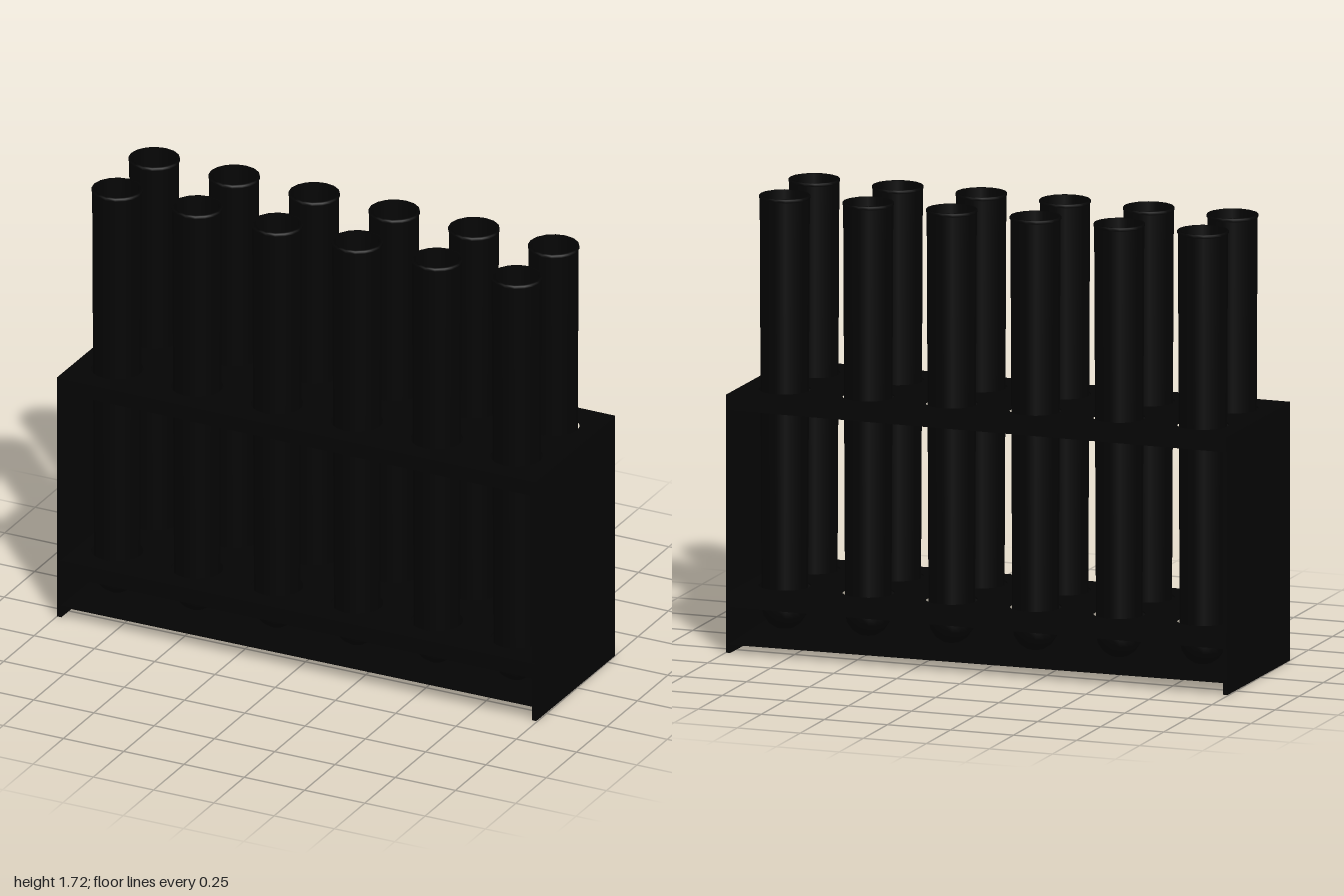
import * as THREE from 'three';

const black = new THREE.MeshStandardMaterial({ color: 0x040404, side: THREE.DoubleSide });
black.name = 'black';

const TUBE_X = [-0.834, -0.501, -0.168, 0.165, 0.497, 0.829];
const TUBE_Z = [-0.15, 0.15];

// Thin shelf sheet with one hole per tube and a lip folded down along front and back
function makeShelf(name, top, height) {
  const w = 0.994, d = 0.327, sheet = 0.006, lip = 0.008;
  const shelf = new THREE.Group();
  shelf.name = name;

  const shape = new THREE.Shape();
  shape.moveTo(-w, -d);
  shape.lineTo(w, -d);
  shape.lineTo(w, d);
  shape.lineTo(-w, d);
  shape.closePath();
  for (const x of TUBE_X) for (const z of TUBE_Z) {
    const hole = new THREE.Path();
    hole.absarc(x, z, 0.097, 0, Math.PI * 2, true);
    shape.holes.push(hole);
  }
  const geo = new THREE.ExtrudeGeometry(shape, { depth: sheet, bevelEnabled: false, curveSegments: 16 });
  geo.rotateX(-Math.PI / 2);
  const plate = new THREE.Mesh(geo, black);
  plate.name = 'shelfSheet';
  plate.position.y = top - sheet;
  shelf.add(plate);

  const lipHeight = height - sheet;
  for (const side of [-1, 1]) {
    const edge = new THREE.Mesh(new THREE.BoxGeometry(2 * w, lipHeight, lip), black);
    edge.name = side > 0 ? 'frontLip' : 'backLip';
    edge.position.set(0, top - sheet - lipHeight / 2, side * (d - lip / 2));
    shelf.add(edge);
  }
  return shelf;
}

// Hollow, slightly tapered tube with a round bottom and a small rim, as one lathe profile
function makeTubeGeometry() {
  const r = 0.086, topR = 0.093, wall = 0.01, bottom = 0.07, top = 1.715;
  const points = [];
  for (let i = 0; i <= 4; i++) {
    const a = (i / 4) * Math.PI / 2;
    points.push(new THREE.Vector2(r * Math.sin(a), bottom + r * (1 - Math.cos(a))));
  }
  points.push(
    new THREE.Vector2(topR, top - 0.013),
    new THREE.Vector2(topR + 0.003, top - 0.01),
    new THREE.Vector2(topR + 0.003, top),
    new THREE.Vector2(topR - wall, top)
  );
  const inner = r - wall;
  for (let i = 4; i >= 0; i--) {
    const a = (i / 4) * Math.PI / 2;
    points.push(new THREE.Vector2(inner * Math.sin(a), bottom + wall + inner * (1 - Math.cos(a))));
  }
  return new THREE.LatheGeometry(points, 16);
}

export function createModel() {
  const rack = new THREE.Group();
  rack.name = 'testTubeRack';

  // End panels
  for (const side of [-1, 1]) {
    const panel = new THREE.Mesh(new THREE.BoxGeometry(0.018, 0.978, 0.638), black);
    panel.name = side > 0 ? 'leftEndPanel' : 'rightEndPanel';
    panel.position.set(side * 0.9885, 0.489, 0);
    rack.add(panel);
  }

  // Shelves that hold the tubes
  rack.add(makeShelf('upperShelf', 0.979, 0.057));
  rack.add(makeShelf('lowerShelf', 0.235, 0.06));

  // Thin base sheet, slightly warped towards one end
  const baseGeo = new THREE.BoxGeometry(1.97, 0.005, 0.65);
  const p = baseGeo.attributes.position;
  for (let i = 0; i < p.count; i++) {
    const t = (p.getX(i) + 0.985) / 1.97;
    p.setY(i, p.getY(i) + t * 0.013 * Math.sign(p.getZ(i)));
  }
  baseGeo.computeVertexNormals();
  const base = new THREE.Mesh(baseGeo, black);
  base.name = 'base';
  base.position.y = 0.048;
  rack.add(base);

  // Two rows of tubes
  const tubeGeo = makeTubeGeometry();
  const tubes = new THREE.Group();
  tubes.name = 'tubes';
  for (const z of TUBE_Z) for (const x of TUBE_X) {
    const tube = new THREE.Mesh(tubeGeo, black);
    tube.name = 'tube';
    tube.position.set(x, 0, z);
    tubes.add(tube);
  }
  rack.add(tubes);

  // The whole rack sits slightly turned
  rack.rotation.y = -0.0075;
  const model = new THREE.Group();
  model.name = 'model';
  model.add(rack);
  return model;
}
